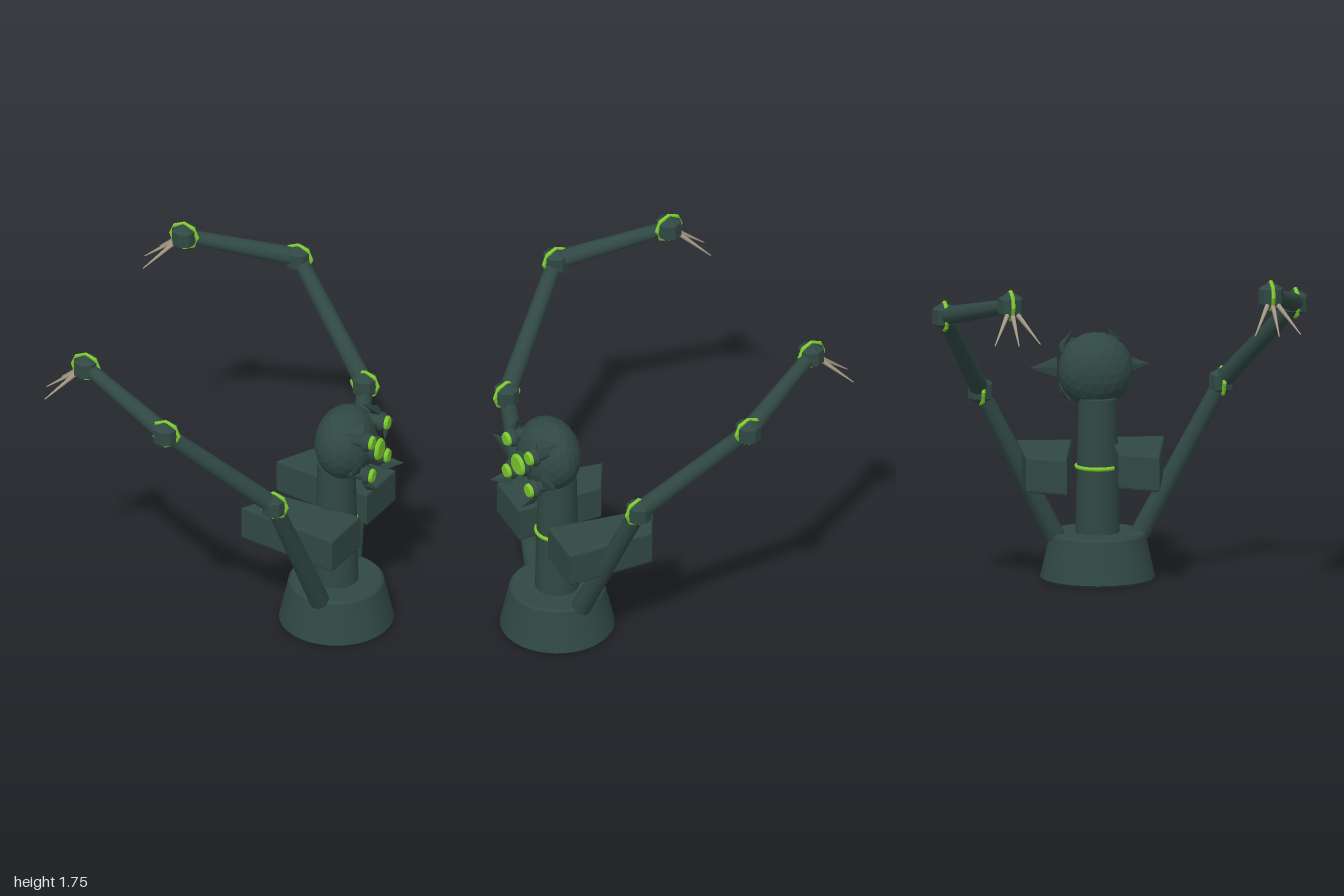
import * as THREE from 'three';
import { toCreasedNormals } from 'three/addons/utils/BufferGeometryUtils.js';

const V = (x, y, z) => new THREE.Vector3(x, y, z);
const mat = (name, color, flatShading = false) => {
  const m = new THREE.MeshStandardMaterial({ color, flatShading });
  m.name = name;
  return m;
};

export function createModel() {
  const model = new THREE.Group();
  const shell = mat('dark green shell', 0x304843);
  const glow = mat('bright green', 0x7cc82e);
  const bone = mat('bone claw', 0xa39884);
  const CX = 0.512;

  const add = (name, geo, material, parent = model) => {
    const m = new THREE.Mesh(geo, material);
    m.name = name;
    parent.add(m);
    return m;
  };
  const flat = (geo) => {
    const g = geo.index ? geo.toNonIndexed() : geo;
    g.computeVertexNormals();
    return g;
  };
  const lathe = (pts, segs) => toCreasedNormals(
    new THREE.LatheGeometry(pts.map(([r, y]) => new THREE.Vector2(r, y)), segs), 0.5);
  // tapered rod between two points
  const rod = (name, a, b, ra, rb, material, parent, segs = 12) => {
    const d = b.clone().sub(a);
    const m = add(name, new THREE.CylinderGeometry(rb, ra, d.length(), segs), material, parent);
    m.position.copy(a).addScaledVector(d, 0.5);
    m.quaternion.setFromUnitVectors(V(0, 1, 0), d.normalize());
    return m;
  };
  // thin triangular fin
  const fin = (name, base, tip, across, half, parent) => {
    const dir = tip.clone().sub(base);
    const len = dir.length();
    dir.normalize();
    const n = across.clone().cross(dir).normalize();
    const side = dir.clone().cross(n);
    const geo = new THREE.ConeGeometry(half, len, 4).scale(1, 1, 0.22).translate(0, len / 2, 0);
    const m = add(name, flat(geo), shell, parent);
    m.quaternion.setFromRotationMatrix(new THREE.Matrix4().makeBasis(side, dir, n));
    m.position.copy(base);
  };

  // pedestal, column and glowing band
  add('base', lathe([[0, 0], [0.288, 0], [0.298, 0.012], [0.248, 0.232], [0.236, 0.245], [0, 0.245]], 40), shell)
    .position.x = CX;
  add('column', lathe([[0, 0.2], [0.115, 0.2], [0.115, 0.25], [0.1, 0.95], [0, 0.95]], 24), shell)
    .position.x = CX;
  const band = add('columnBand', new THREE.TorusGeometry(0.11, 0.011, 8, 24).rotateX(Math.PI / 2), glow);
  band.position.set(CX, 0.59, 0);

  // two slanted side blocks of the same shape
  const outline = [[0.21, -0.44], [0.685, -0.395], [0.64, -0.11], [0.08, -0.25]];
  const bevel = 0.012;
  const blockGeo = new THREE.ExtrudeGeometry(
    new THREE.Shape(outline.map(([x, z]) => new THREE.Vector2(x, z))),
    { depth: 0.19 - 2 * bevel, bevelThickness: bevel, bevelSize: bevel, bevelOffset: -bevel, bevelSegments: 2 });
  blockGeo.rotateX(Math.PI / 2);
  [0, 0.49].forEach((z, i) => {
    add(i ? 'rightBlock' : 'leftBlock', blockGeo, shell).position.set(0, 0.71 - bevel, z);
  });

  // head
  const head = new THREE.Group();
  head.name = 'head';
  model.add(head);
  const skull = add('skull', flat(new THREE.IcosahedronGeometry(0.197, 3)), shell, head);
  skull.scale.x = 0.8;
  skull.position.set(0.565, 1.087, 0);

  // eyes: stalk, socket and bevelled lens
  const eye = (y, z, socket, lens) => {
    rod('eyeStalk', V(0.6, y, z), V(0.72, y, z), socket * 0.6, socket * 0.6, shell, head);
    const s = add('eyeSocket', lathe([[0, 0], [socket * 0.9, 0], [socket, 0.012], [lens * 1.05, 0.034], [0, 0.034]], 16), shell, head);
    const l = add('eyeLens', lathe([[0, 0], [lens, 0], [lens, 0.01], [lens * 0.82, 0.021], [0, 0.021]], 16), glow, head);
    s.rotation.z = l.rotation.z = -Math.PI / 2;
    s.position.set(0.712, y, z);
    l.position.set(0.744, y, z);
  };
  eye(1.08, 0, 0.07, 0.06);
  for (const s of [1, -1]) {
    eye(1.18, s * 0.107, 0.053, 0.038);
    eye(0.98, s * 0.107, 0.053, 0.038);
    fin('sideFin', V(0.712, 1.08, s * 0.175), V(0.712, 1.08, s * 0.317), V(0, 1, 0), 0.055, head);
    fin('upperFin', V(0.71, 1.23, s * 0.115), V(0.595, 1.232, s * 0.15), V(0, 0.9, -s * 0.4), 0.058, head);
    fin('lowerFin', V(0.715, 0.925, s * 0.115), V(0.828, 0.927, s * 0.15), V(0, 0.9, s * 0.4), 0.046, head);
  }

  // mirrored arms with ringed joints and claws
  const jointGeo = flat(new THREE.SphereGeometry(0.077, 8, 3));
  const ringGeo = flat(new THREE.TorusGeometry(0.073, 0.011, 6, 8));
  for (const s of [1, -1]) {
    const arm = new THREE.Group();
    arm.name = s > 0 ? 'rightArm' : 'leftArm';
    model.add(arm);
    const p = [V(0.508, 0.23, s * 0.225), V(0.417, 1.03, s * 0.636), V(-0.07, 1.523, s * 0.927), V(-0.61, 1.67, s * 0.687)];
    const radii = [[0.053, 0.043], [0.05, 0.042], [0.05, 0.036]];
    radii.forEach(([a, b], i) => rod('armSegment', p[i], p[i + 1], a, b, shell, arm));
    for (const q of p.slice(1)) {
      add('joint', jointGeo, shell, arm).position.copy(q);
      add('jointRing', ringGeo, glow, arm).position.copy(q);
    }
    const w = p[3];
    for (const k of [-1, 0, 1]) {
      const start = V(w.x - 0.035, w.y - 0.03, w.z + k * 0.02);
      const tip = V(k ? -0.792 : -0.828, 1.495, w.z + k * 0.12);
      rod('claw', start, tip, 0.014, 0.003, bone, arm, 8);
    }
  }
  return model;
}
